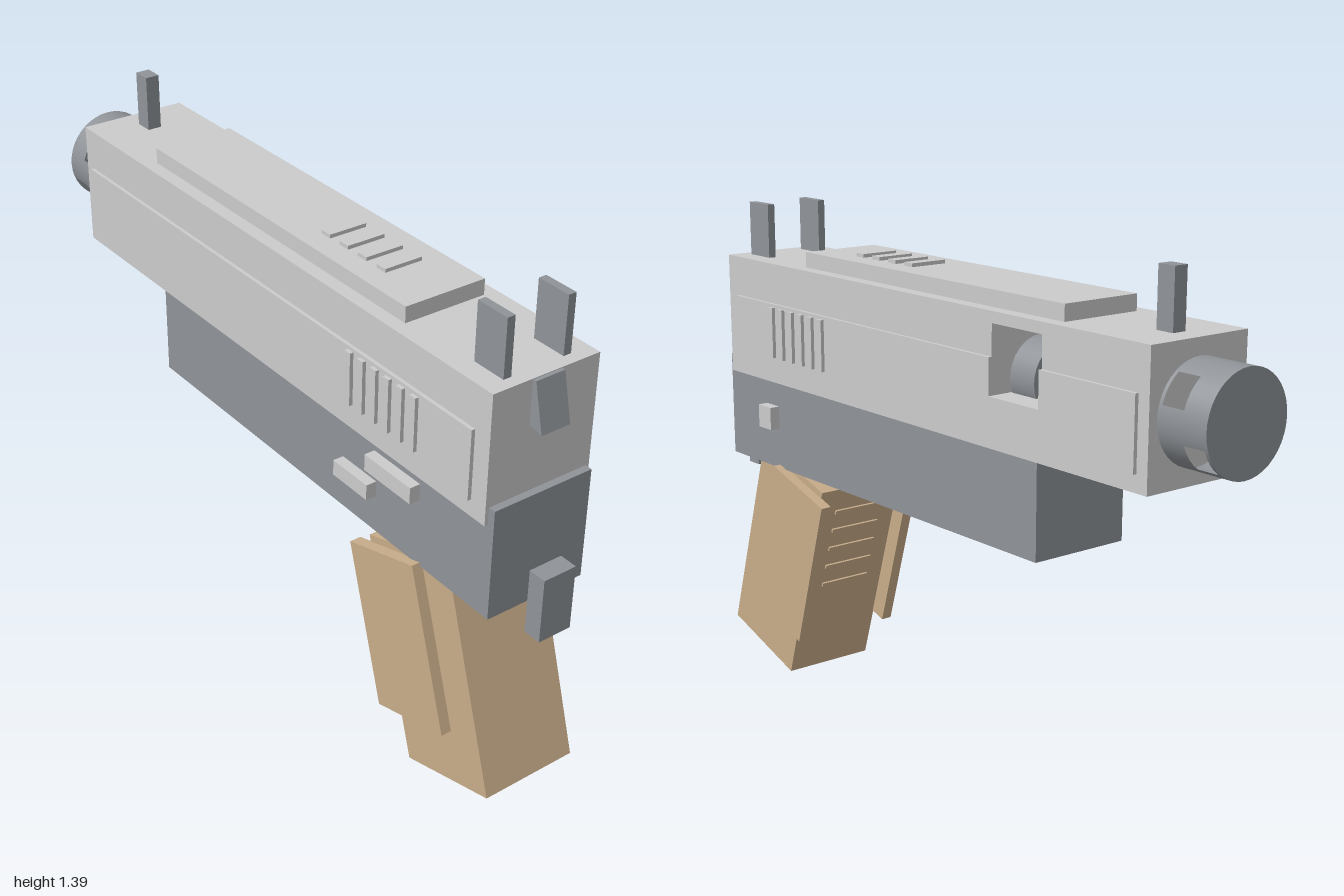
import * as THREE from 'three';

const mat = (color, side = THREE.FrontSide) => new THREE.MeshStandardMaterial({ color, side });

export function createModel() {
  const model = new THREE.Group();
  const light = mat(0xcccccc), grey = mat(0x8f9398), tan = mat(0xc8ad8a);
  const shell = mat(0x8f9398, THREE.DoubleSide);

  const add = (name, geometry, material, parent = model) => {
    const mesh = new THREE.Mesh(geometry, material);
    mesh.name = name;
    parent.add(mesh);
    return mesh;
  };
  // Box given by its limits on each axis
  const box = (name, [x0, x1], [y0, y1], [z0, z1], material) => add(name,
    new THREE.BoxGeometry(x1 - x0, y1 - y0, z1 - z0)
      .translate((x0 + x1) / 2, (y0 + y1) / 2, (z0 + z1) / 2), material);
  // Side outline in (z, y), extruded from x0 to x1
  const profile = (name, points, [x0, x1], material, hole) => {
    const toVectors = (list) => list.map(([z, y]) => new THREE.Vector2(z, y));
    const shape = new THREE.Shape(toVectors(points));
    if (hole) shape.holes.push(new THREE.Path(toVectors(hole)));
    const geometry = new THREE.ExtrudeGeometry(shape, { depth: x1 - x0, bevelEnabled: false });
    return add(name, geometry.rotateY(-Math.PI / 2).translate(x1, 0, 0), material);
  };
  const rect = (z0, z1, y0, y1) => [[z0, y0], [z1, y0], [z1, y1], [z0, y1]];

  // Slide, with an open port in its +x wall
  const axisY = 1.067;
  box('slideBody', [-0.155, 0], [0.895, 1.24], [-0.85, 0.905], light);
  profile('slidePortWall', rect(-0.85, 0.905, 0.895, 1.24), [0, 0.155], light,
    rect(-0.49, -0.305, 1.03, 1.21));

  // Chamber pieces seen inside the port
  [[-0.4, -0.31, 0.1], [-0.488, -0.43, 0.075]].forEach(([z0, z1, r]) => {
    add('chamber', new THREE.CylinderGeometry(r, r, z1 - z0, 32)
      .rotateX(Math.PI / 2).translate(0, axisY, (z0 + z1) / 2), grey);
  });

  // Raised side panels; the +x one is notched around the port
  box('sidePanel', [-0.165, -0.155], [0.94, 1.127], [-0.815, 0.855], light);
  profile('sidePanel', [[-0.815, 0.94], [0.855, 0.94], [0.855, 1.127], [-0.305, 1.127],
    [-0.305, 1.03], [-0.49, 1.03], [-0.49, 1.127], [-0.815, 1.127]], [0.155, 0.165], light);

  // Grip ribs on both sides of the slide
  for (const s of [-1, 1]) {
    for (let i = 0; i < 6; i++) {
      const z = 0.415 + i * 0.049;
      box('slideRib', [s * 0.169 - 0.006, s * 0.169 + 0.006], [0.973, 1.118], [z - 0.011, z + 0.011], light);
    }
  }

  // Top plate with cross ribs
  box('topPlate', [-0.117, 0.117], [1.24, 1.283], [-0.525, 0.555], light);
  for (let i = 0; i < 4; i++) {
    const z = 0.163 + i * 0.073;
    box('topRib', [-0.055, 0.055], [1.283, 1.293], [z - 0.017, z + 0.017], light);
  }

  // Sights
  box('frontSight', [-0.02, 0.02], [1.24, 1.393], [-0.783, -0.73], grey);
  for (const s of [-1, 1]) {
    box('rearSight', [s * 0.087 - 0.011, s * 0.087 + 0.011], [1.24, 1.393], [0.775, 0.872], grey);
  }

  // Tilted hammer at the rear
  profile('hammer', [[0.9, 1.117], [0.945, 1.113], [0.915, 1.238], [0.87, 1.238]].map(
    ([z, y], i) => i === 0 ? [0.89, 1.127] : [z, y]), [-0.042, 0.042], grey);

  // Slotted muzzle drum: closed ends with rings, some broken by side windows
  const muzzle = new THREE.Group();
  muzzle.name = 'muzzle';
  muzzle.position.y = axisY;
  model.add(muzzle);
  const R = 0.13, rad = THREE.MathUtils.degToRad;
  const arc = (z0, z1, a0, a1) => {
    const n = Math.max(2, Math.round((a1 - a0) / 9));
    // angles are measured from +x towards +y
    const g = new THREE.CylinderGeometry(R, R, z1 - z0, n, 1, true, rad(90 + a0), rad(a1 - a0));
    add('muzzleRing', g.rotateX(-Math.PI / 2).translate(0, 0, (z0 + z1) / 2), shell, muzzle);
  };
  arc(-1, -0.99, 0, 360);
  arc(-0.99, -0.927, 54, 126);
  arc(-0.99, -0.927, 160, 380);
  arc(-0.927, -0.86, -16, 196);
  arc(-0.927, -0.86, 234, 306);
  arc(-0.86, -0.85, 0, 360);
  add('muzzleCap', new THREE.CircleGeometry(R, 40).translate(0, 0, -1), shell, muzzle);

  // Frame with a rear lip, and the rail below it
  box('frame', [-0.145, 0.145], [0.638, 0.897], [-0.465, 0.925], grey);
  box('frameRearLip', [-0.145, 0.145], [0.895, 0.942], [0.905, 0.925], grey);
  box('rearTab', [-0.048, 0.048], [0.575, 0.753], [0.95, 1], grey);
  box('lowerRail', [-0.03, 0.03], [0.597, 0.64], [0.08, 0.55], grey);

  // Side buttons
  box('button', [0.145, 0.175], [0.757, 0.823], [0.673, 0.735], light);
  box('slideCatch', [-0.175, -0.145], [0.825, 0.87], [0.49, 0.665], light);
  box('magazineCatch', [-0.175, -0.145], [0.742, 0.785], [0.365, 0.5], light);

  // Slanted grip with side panels
  profile('grip', [[0.96, 0.098], [0.66, 0.002], [0.47, 0.605], [0.77, 0.7]], [-0.138, 0.138], tan);
  for (const s of [-1, 1]) {
    profile('gripPanel', [[0.815, 0.21], [0.565, 0.133], [0.43, 0.573], [0.675, 0.648]],
      s < 0 ? [-0.168, -0.136] : [0.136, 0.168], tan);
  }

  // Finger ridges down the inner face of the grip
  for (let i = 0; i < 5; i++) {
    const t = 0.12 + i * 0.1;
    const ridge = add('gripRidge', new THREE.BoxGeometry(0.16, 0.012, 0.012), tan);
    ridge.position.set(0, 0.605 - 0.603 * t, 0.47 + 0.19 * t);
    ridge.rotation.x = -0.305;
  }

  return model;
}
